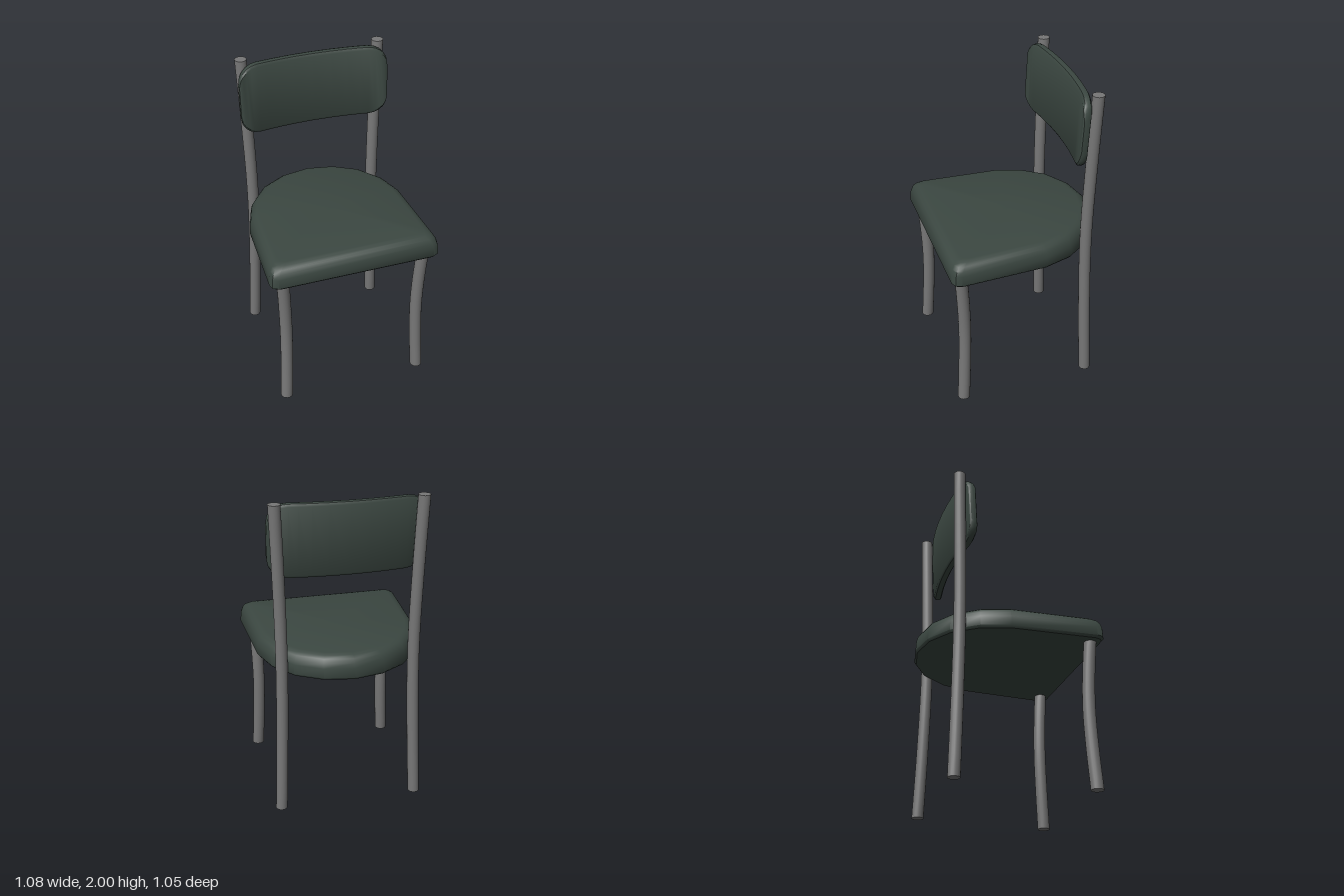
import * as THREE from 'three';
import { toCreasedNormals } from 'three/addons/utils/BufferGeometryUtils.js';

const fabric = new THREE.MeshStandardMaterial({ color: 0x3b4741 });
const metal = new THREE.MeshStandardMaterial({ color: 0x777777 });

// Skin a stack of closed rings (arrays of Vector3) and cap both ends
function loft(name, rings, material, crease) {
  const n = rings[0].length, last = (rings.length - 1) * n;
  const points = rings.flat(), index = [];
  const centre = ring => ring.reduce((s, p) => s.add(p), new THREE.Vector3()).divideScalar(n);
  const c0 = points.length, c1 = c0 + 1;
  points.push(centre(rings[0]), centre(rings[rings.length - 1]));
  for (let j = 0; j < n; j++) {
    const k = (j + 1) % n;
    for (let r = 0; r < last; r += n) {
      index.push(r + j, r + n + j, r + k, r + k, r + n + j, r + n + k);
    }
    index.push(c0, j, k, c1, last + k, last + j);
  }
  const geometry = new THREE.BufferGeometry().setFromPoints(points);
  geometry.setIndex(index);
  const mesh = new THREE.Mesh(toCreasedNormals(geometry, crease), material);
  mesh.name = name;
  return mesh;
}

// Seat cushion: outline with a rounded back, softened at the top edge
function createSeat() {
  const half = [[0.185, -0.495], [0.345, -0.4], [0.46, -0.245], [0.515, -0.07],
    [0.54, 0.47], [0.53, 0.507], [0.495, 0.525]];
  const outline = [[0, -0.53], ...half, ...half.map(([x, z]) => [-x, z]).reverse()];
  const profile = [[0.93, 0.012], [0.945, 0], [1.005, 0.003], [1.035, 0.012],
    [1.058, 0.027], [1.073, 0.048], [1.08, 0.075]]; // height, inset
  const rings = profile.map(([y, d]) => outline.map(([x, z]) =>
    new THREE.Vector3(x * (1 - d / 0.54), y, z * (1 - d / 0.53))));
  return loft('seat', rings, fabric, 0.75);
}

// Backrest: bowed, slightly reclined panel with rounded corners
function createBackrest() {
  const right = [0, 0.12, 0.22, 0.3, 0.355, 0.395, 0.425, 0.45, 0.467, 0.475];
  const xs = [...right.slice(1).map(x => -x).reverse(), ...right];
  const rings = xs.map(x => {
    const a = Math.abs(x), t = Math.max(0, (a - 0.355) / 0.12);
    const h = 0.23 - 0.115 * (1 - Math.sqrt(Math.max(0, 1 - t * t)));
    const thin = a > 0.47 ? 0.009 : a > 0.46 ? 0.003 : 0;
    const d = 0.026 - thin;
    const bow = 0.05 * (x / 0.475) ** 2;
    // Bevelled section: front, top, back, bottom
    const section = [[-h + 0.02, d], [h - 0.02, d], [h - 0.005, d - 0.009], [h, 0],
      [h - 0.005, 0.009 - d], [h - 0.02, -d], [-h + 0.02, -d], [-h + 0.005, 0.009 - d],
      [-h, 0], [-h + 0.005, d - 0.009]];
    return section.map(([y, z]) =>
      new THREE.Vector3(x, 1.76 + y, -0.35 + bow + z - 0.055 * y));
  });
  return loft('backrest', rings, fabric, 0.6);
}

// Bent round tube with horizontal ends
function createLeg(name, path, radius, side) {
  const curve = new THREE.CatmullRomCurve3(path.map(([x, y, z]) => new THREE.Vector3(x * side, y, z)));
  const rings = curve.getPoints(16).map(p => Array.from({ length: 18 }, (_, i) => {
    const a = i / 18 * Math.PI * 2;
    return new THREE.Vector3(p.x + radius * Math.cos(a), p.y, p.z + radius * Math.sin(a));
  }));
  return loft(name, rings, metal, 0.7);
}

export function createModel() {
  const chair = new THREE.Group();
  chair.name = 'chair';
  chair.add(createSeat(), createBackrest());
  const front = [[0.452, 0, 0.46], [0.441, 0.25, 0.445], [0.436, 0.5, 0.436],
    [0.441, 0.72, 0.441], [0.452, 0.95, 0.455]];
  const back = [[0.438, 0, -0.383], [0.424, 0.4, -0.37], [0.413, 0.85, -0.36],
    [0.413, 1.15, -0.36], [0.424, 1.6, -0.371], [0.438, 2, -0.383]];
  for (const [side, label] of [[1, 'left'], [-1, 'right']]) {
    chair.add(createLeg(label + 'FrontLeg', front, 0.039, side));
    chair.add(createLeg(label + 'BackPost', back, 0.037, side));
  }
  return chair;
}
